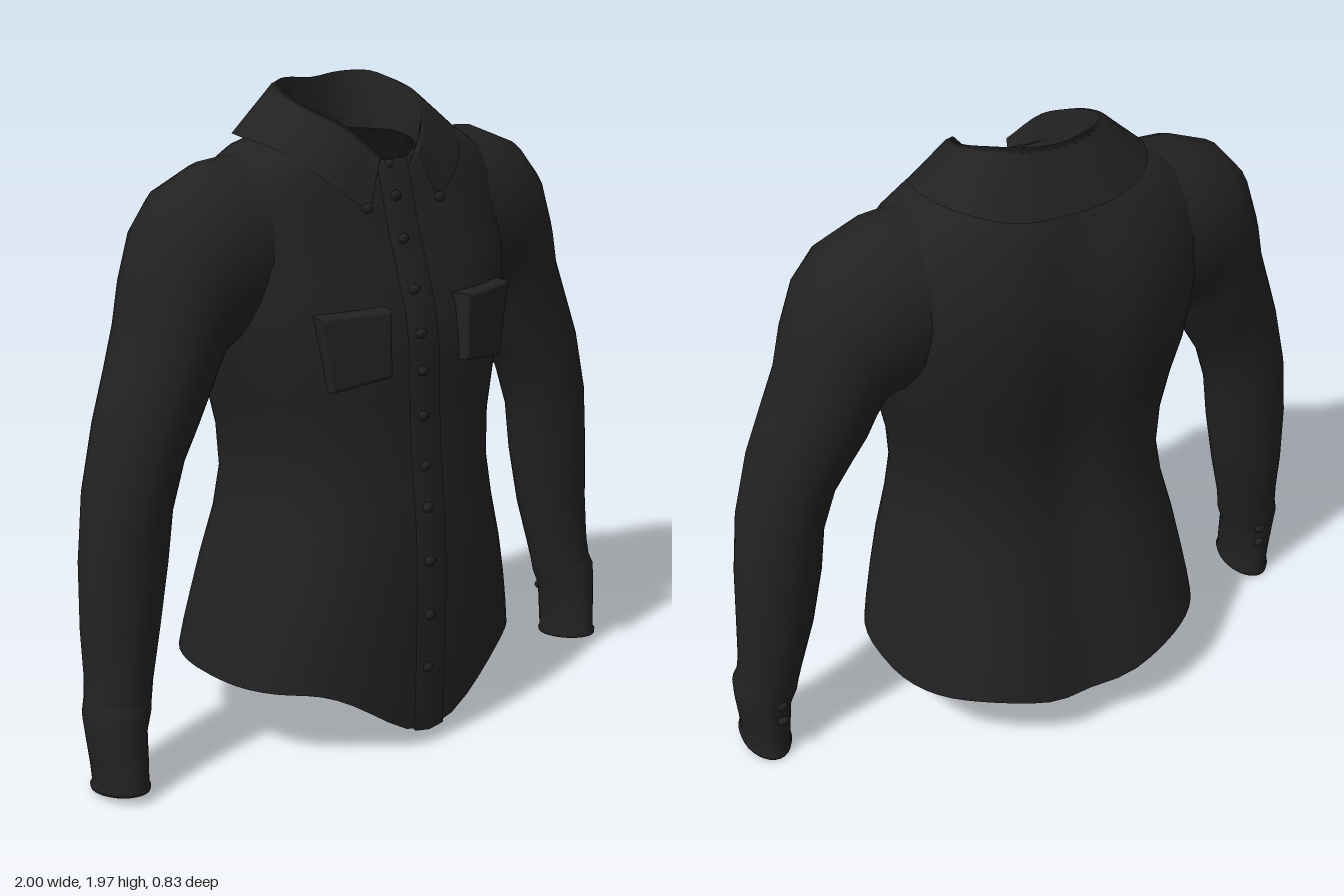
import * as THREE from 'three';

const fabric = new THREE.MeshStandardMaterial({ color: 0x222222, side: THREE.DoubleSide });
fabric.name = 'black fabric';

function add(parent, name, geometry) {
  const mesh = new THREE.Mesh(geometry, fabric);
  mesh.name = name;
  parent.add(mesh);
  return mesh;
}

// Skin a list of rings (arrays of [x, y, z]) with smooth normals
function loft(rings, closed) {
  const n = rings[0].length, pos = rings.flat(2), index = [];
  for (let r = 0; r < rings.length - 1; r++) {
    for (let i = 0; i < (closed ? n : n - 1); i++) {
      const a = r * n + i, b = r * n + (i + 1) % n;
      index.push(a, a + n, b, b, a + n, b + n);
    }
  }
  const g = new THREE.BufferGeometry();
  g.setAttribute('position', new THREE.Float32BufferAttribute(pos, 3));
  g.setIndex(index);
  g.computeVertexNormals();
  return g;
}

// Torso: height, half width, front z, back z, front dip, back dip
const TORSO = [
  [0.24, 0.53, 0.398, -0.42, 0.19, 0.07], [0.32, 0.518, 0.402, -0.40, 0.12, 0.04],
  [0.42, 0.50, 0.405, -0.37, 0.05, 0.01], [0.55, 0.472, 0.405, -0.335, 0, 0],
  [0.70, 0.432, 0.398, -0.295, 0, 0], [0.83, 0.412, 0.385, -0.275, 0, 0],
  [0.97, 0.425, 0.37, -0.272, 0, 0], [1.10, 0.455, 0.365, -0.287, 0, 0],
  [1.22, 0.49, 0.363, -0.308, 0, 0], [1.34, 0.51, 0.345, -0.32, 0, 0],
  [1.46, 0.53, 0.305, -0.322, 0, 0], [1.58, 0.535, 0.262, -0.305, 0, 0],
  [1.68, 0.51, 0.235, -0.27, 0, 0], [1.75, 0.46, 0.215, -0.235, 0, 0],
  [1.80, 0.385, 0.205, -0.205, 0.03, 0], [1.835, 0.29, 0.20, -0.18, 0.07, 0.02],
  [1.85, 0.20, 0.195, -0.16, 0.09, 0.03],
];
const N = 2.5;
const dipAt = x => THREE.MathUtils.smoothstep(1 - Math.abs(x) / 0.42, 0, 1);

function torsoRing([y, w, zf, zb, df, db]) {
  const ring = [];
  for (let i = 0; i < 56; i++) {
    const a = i / 56 * Math.PI * 2, c = Math.cos(a), s = Math.sin(a);
    const x = w * Math.sign(c) * Math.abs(c) ** (2 / N);
    const k = Math.abs(s) ** (2 / N);
    let z = (s > 0 ? zf : zb) * k;
    // spine groove
    if (s < 0) z += 0.028 * Math.exp(-((x / 0.1) ** 2)) * (y < 1.7 ? 1 : 0.2);
    ring.push([x, y - (s > 0 ? df : db) * dipAt(x) * k, z]);
  }
  return ring;
}

// Front surface depth at a given x and height
function frontZ(x, y) {
  let i = 0;
  while (i < TORSO.length - 2 && TORSO[i + 1][0] < y) i++;
  const [p, q] = [TORSO[i], TORSO[i + 1]];
  const t = THREE.MathUtils.clamp((y - p[0]) / (q[0] - p[0]), 0, 1);
  const w = p[1] + (q[1] - p[1]) * t, zf = p[2] + (q[2] - p[2]) * t;
  return zf * Math.max(0, 1 - (Math.abs(x) / w) ** N) ** (1 / N);
}

// Sleeve: outer x, y, inner x, y, front z, back z
const SLEEVE = [
  [0.36, 1.80, 0.34, 1.28, 0.19, -0.21], [0.50, 1.787, 0.43, 1.26, 0.205, -0.225],
  [0.64, 1.73, 0.485, 1.25, 0.20, -0.21], [0.72, 1.64, 0.505, 1.235, 0.188, -0.19],
  [0.77, 1.50, 0.53, 1.19, 0.18, -0.175], [0.80, 1.37, 0.56, 1.125, 0.17, -0.16],
  [0.85, 1.24, 0.60, 1.05, 0.165, -0.135], [0.90, 1.10, 0.655, 0.96, 0.165, -0.118],
  [0.95, 0.90, 0.695, 0.83, 0.158, -0.105], [0.973, 0.70, 0.71, 0.68, 0.147, -0.095],
  [0.98, 0.50, 0.745, 0.49, 0.14, -0.078], [0.98, 0.36, 0.785, 0.34, 0.147, -0.06],
  [0.987, 0.30, 0.797, 0.28, 0.152, -0.05],
];
const CUFF = [
  [0.987, 0.30, 0.797, 0.28, 0.152, -0.05], [1.0, 0.26, 0.803, 0.245, 0.16, -0.045],
  [0.995, 0.20, 0.825, 0.19, 0.165, -0.035], [0.982, 0.10, 0.833, 0.10, 0.177, -0.032],
  [0.977, 0.04, 0.838, 0.035, 0.183, -0.03], [0.985, 0.036, 0.832, 0.031, 0.187, -0.034],
  [0.982, 0.022, 0.836, 0.02, 0.186, -0.033], [0.962, 0.022, 0.855, 0.022, 0.165, -0.012],
  [0.96, 0.10, 0.855, 0.10, 0.155, -0.012],
];
function sleeveRing([xo, yo, xi, yi, zf, zb], s) {
  const ring = [];
  const tilt = yo < 0.3 ? 0.015 : 0;
  for (let i = 0; i < 28; i++) {
    const a = i / 28 * Math.PI * 2, c = Math.cos(a), d = Math.sin(a);
    ring.push([s * ((xo + xi) / 2 + c * (xo - xi) / 2),
      (yo + yi) / 2 + c * (yo - yi) / 2 + tilt * d,
      (zf + zb) / 2 + d * (zf - zb) / 2]);
  }
  return ring;
}

// Collar edges from centre back to the left front point
const STAND = [[0, 1.80, -0.165], [0.10, 1.80, -0.15], [0.17, 1.80, -0.08], [0.19, 1.80, 0],
  [0.18, 1.79, 0.09], [0.135, 1.76, 0.16], [0.055, 1.735, 0.205]];
const FOLD = [[0, 1.962, -0.16], [0.10, 1.972, -0.15], [0.175, 1.972, -0.10], [0.205, 1.945, -0.01],
  [0.195, 1.915, 0.08], [0.145, 1.875, 0.17], [0.066, 1.785, 0.238]];
const EDGE = [[0, 1.785, -0.25], [0.17, 1.795, -0.235], [0.29, 1.825, -0.17], [0.35, 1.835, -0.04],
  [0.325, 1.81, 0.115], [0.25, 1.735, 0.215], [0.13, 1.635, 0.262]];
function collarGeometry() {
  const curve = half => new THREE.CatmullRomCurve3([
    ...half.slice(1).reverse().map(([x, y, z]) => new THREE.Vector3(-x, y, z)),
    ...half.map(p => new THREE.Vector3(...p))]);
  const [stand, fold, edge] = [STAND, FOLD, EDGE].map(curve);
  const rings = [];
  for (let i = 0; i <= 48; i++) {
    const t = i / 48, S = stand.getPoint(t), F = fold.getPoint(t), E = edge.getPoint(t);
    const over = F.clone().lerp(E, 0.15);
    over.y += 0.012;
    const mid = F.clone().lerp(E, 0.6);
    mid.y += 0.006;
    rings.push([S, F, over, mid, E].map(v => v.toArray()));
  }
  return loft(rings, false);
}

function pocketGeometry(s) {
  const shape = new THREE.Shape([[-0.10, 0.10], [0.10, 0.10], [0.065, -0.10], [-0.105, -0.075]]
    .map(([x, y]) => new THREE.Vector2(s * x, y)));
  return new THREE.ExtrudeGeometry(shape, {
    depth: 0.045, bevelEnabled: true, bevelSize: 0.012, bevelThickness: 0.012, bevelSegments: 3,
  });
}

export function createModel() {
  const shirt = new THREE.Group();
  shirt.name = 'shirt';

  add(shirt, 'torso', loft(TORSO.map(torsoRing), true));
  add(shirt, 'collar', collarGeometry());

  // Raised strip down the front
  add(shirt, 'placket', loft(TORSO.slice(0, 15).map(([y, , , , dip]) =>
    [[0.05, -0.004], [0.05, 0.005], [-0.005, 0.006], [-0.06, 0.005], [-0.06, -0.004]].map(
      ([x, off]) => [x, y - dip * dipAt(x), frontZ(x, y) + off])), false));

  const button = (name, x, y, z) => {
    const b = add(shirt, name, new THREE.SphereGeometry(0.019, 12, 8));
    b.scale.set(1, 0.8, 0.6);
    b.position.set(x, y, z);
    return b;
  };
  for (const y of [0.26, 0.43, 0.6, 0.765, 0.89, 1.04, 1.175, 1.285, 1.41, 1.55, 1.67]) {
    button('frontButton', -0.018, y, frontZ(0, y) + 0.008);
  }
  button('neckButton', -0.015, 1.755, 0.212);

  for (const s of [1, -1]) {
    const side = s > 0 ? 'left' : 'right';
    add(shirt, side + 'Sleeve', loft(SLEEVE.map(r => sleeveRing(r, s)), true));
    add(shirt, side + 'Cuff', loft(CUFF.map(r => sleeveRing(r, s)), true));
    const pocket = add(shirt, side + 'Pocket', pocketGeometry(s));
    pocket.position.set(s * 0.24, 1.265, 0.30);
    pocket.rotation.y = s * 0.27;
    button(side + 'CollarButton', s * 0.138, 1.65, 0.262);
    for (const y of [0.16, 0.22]) button(side + 'CuffButton', s * 0.89, y, -0.04);
  }
  return shirt;
}
